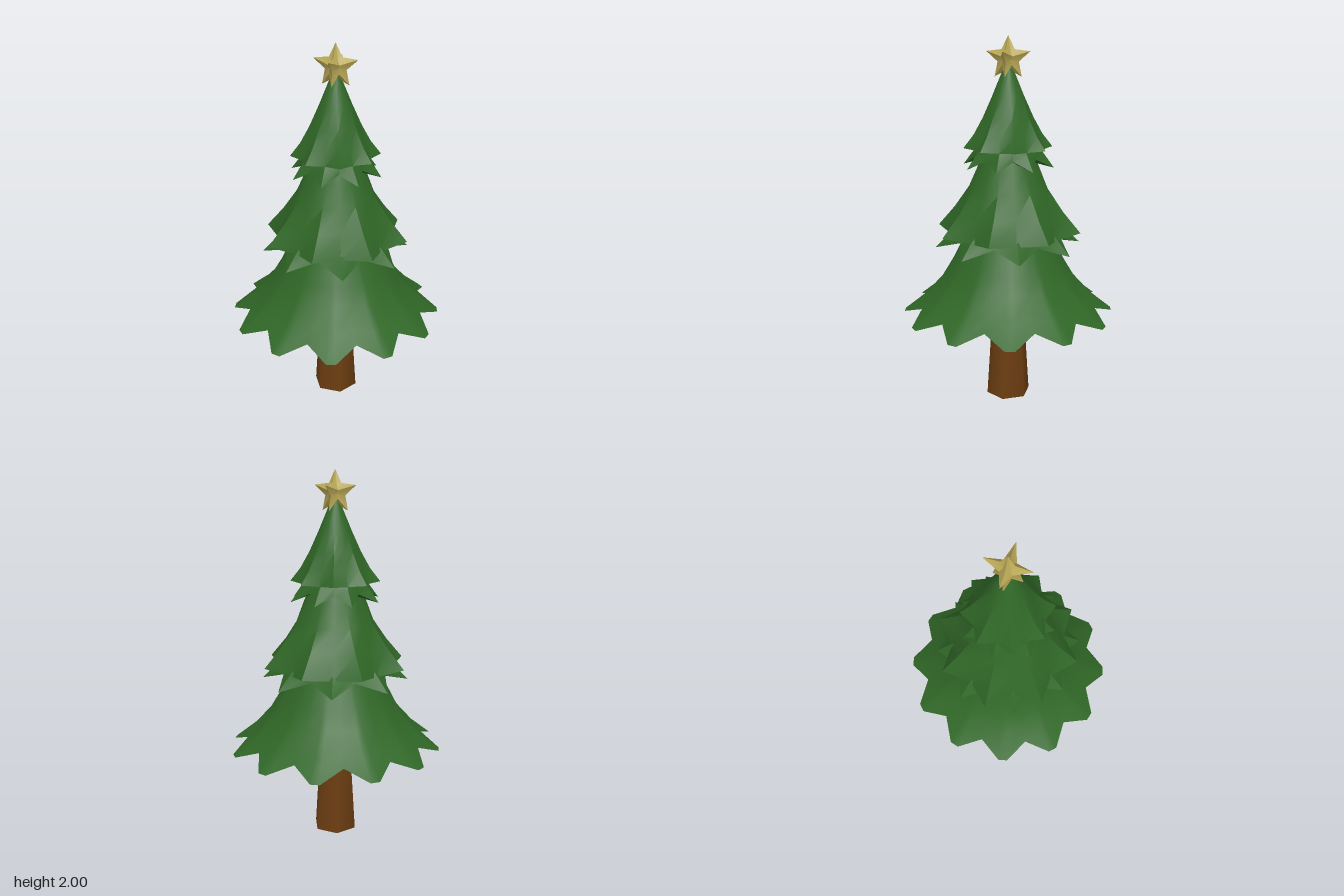
import * as THREE from 'three';
import { toCreasedNormals } from 'three/addons/utils/BufferGeometryUtils.js';

const mat = (name, color) => {
  const m = new THREE.MeshStandardMaterial({ color });
  m.name = name;
  return m;
};

// Closed skirt of branches: rows run from the top, over the hem, to the underside.
// Each row is [tipRadius, tipY, notchRadius, notchY]; a row of two is round.
function skirt(rows, lobes, offset, blunt = 0) {
  const step = (Math.PI * 2) / lobes;
  const stops = blunt ? [[0, false], [0.5 * step - blunt, true], [0.5 * step + blunt, true]]
    : [[0, false], [0.5 * step, true]];
  const count = lobes * stops.length;
  const pos = [], idx = [];
  for (const [rt, yt, rn = rt, yn = yt] of rows) {
    for (let i = 0; i < lobes; i++) {
      for (const [a, tip] of stops) {
        const t = offset + i * step + a, r = tip ? rt : rn;
        pos.push(Math.sin(t) * r, tip ? yt : yn, Math.cos(t) * r);
      }
    }
  }
  for (let j = 0; j < rows.length - 1; j++) {
    for (let i = 0; i < count; i++) {
      const a = j * count + i, b = j * count + (i + 1) % count;
      idx.push(a, a + count, b, b, a + count, b + count);
    }
  }
  const g = new THREE.BufferGeometry();
  g.setAttribute('position', new THREE.Float32BufferAttribute(pos, 3));
  g.setIndex(idx);
  return toCreasedNormals(g, 0.6);
}

// Five-pointed star, pinched to its outline and swelling to the middle on both sides
function starGeometry(outer, inner, depth) {
  const pos = [];
  const rim = (i) => {
    const t = (i * Math.PI) / 5, r = i % 2 ? inner : outer;
    return [Math.sin(t) * r, Math.cos(t) * r, 0];
  };
  for (let i = 0; i < 10; i++) {
    pos.push(0, 0, depth, ...rim(i + 1), ...rim(i));
    pos.push(0, 0, -depth, ...rim(i), ...rim(i + 1));
  }
  const g = new THREE.BufferGeometry();
  g.setAttribute('position', new THREE.Float32BufferAttribute(pos, 3));
  return toCreasedNormals(g, 0.7);
}

export function createModel() {
  const tree = new THREE.Group();
  tree.name = 'decoratedTree';
  const green = mat('pine green', 0x2f6626);
  const brown = mat('bark brown', 0x6b3d10);
  const gold = mat('star gold', 0xb8a755);
  const add = (name, geometry, material) => {
    const m = new THREE.Mesh(geometry, material);
    m.name = name;
    tree.add(m);
    return m;
  };

  // Six-sided tapering trunk
  const trunk = add('trunk', toCreasedNormals(new THREE.CylinderGeometry(0.086, 0.124, 0.58, 6), 1.2), brown);
  trunk.position.y = 0.29;
  trunk.rotation.y = Math.PI / 6;

  // Wide bottom tier with twelve blunt branches
  add('bottomTier', skirt([
    [0.19, 1.02], [0.255, 0.9], [0.305, 0.8], [0.365, 0.7, 0.355, 0.7],
    [0.46, 0.595, 0.425, 0.61], [0.58, 0.5, 0.49, 0.55],
    [0.32, 0.56, 0.3, 0.57], [0.07, 0.545],
  ], 12, 0, 0.043), green);

  // Middle tier: frill below, larger skirt above
  const half = Math.PI / 8;
  add('middleFrill', skirt([
    [0.23, 1.06], [0.31, 0.97, 0.27, 0.98], [0.4, 0.88, 0.295, 0.93], [0.2, 0.93],
  ], 8, 0), green);
  add('middleTier', skirt([
    [0.12, 1.42], [0.165, 1.32], [0.22, 1.2, 0.21, 1.2], [0.305, 1.08, 0.265, 1.08],
    [0.4, 0.97, 0.31, 0.95], [0.22, 0.97],
  ], 8, half), green);

  // Top tier: frill below, pointed skirt above
  add('topFrill', skirt([
    [0.14, 1.48], [0.19, 1.4, 0.17, 1.41], [0.25, 1.32, 0.18, 1.37], [0.12, 1.36],
  ], 8, half), green);
  add('topTier', skirt([
    [0, 1.87], [0.035, 1.81], [0.085, 1.69], [0.135, 1.58, 0.125, 1.58],
    [0.185, 1.49, 0.16, 1.49], [0.24, 1.42, 0.19, 1.415], [0.14, 1.42],
  ], 8, 0), green);

  // Two crossed stars on the crown
  const star = starGeometry(0.124, 0.06, 0.042);
  for (const [name, turn] of [['starFront', 0], ['starSide', Math.PI / 2]]) {
    const m = add(name, star, gold);
    m.position.y = 1.884;
    m.scale.y = 0.935;
    m.rotation.y = turn;
  }
  return tree;
}
